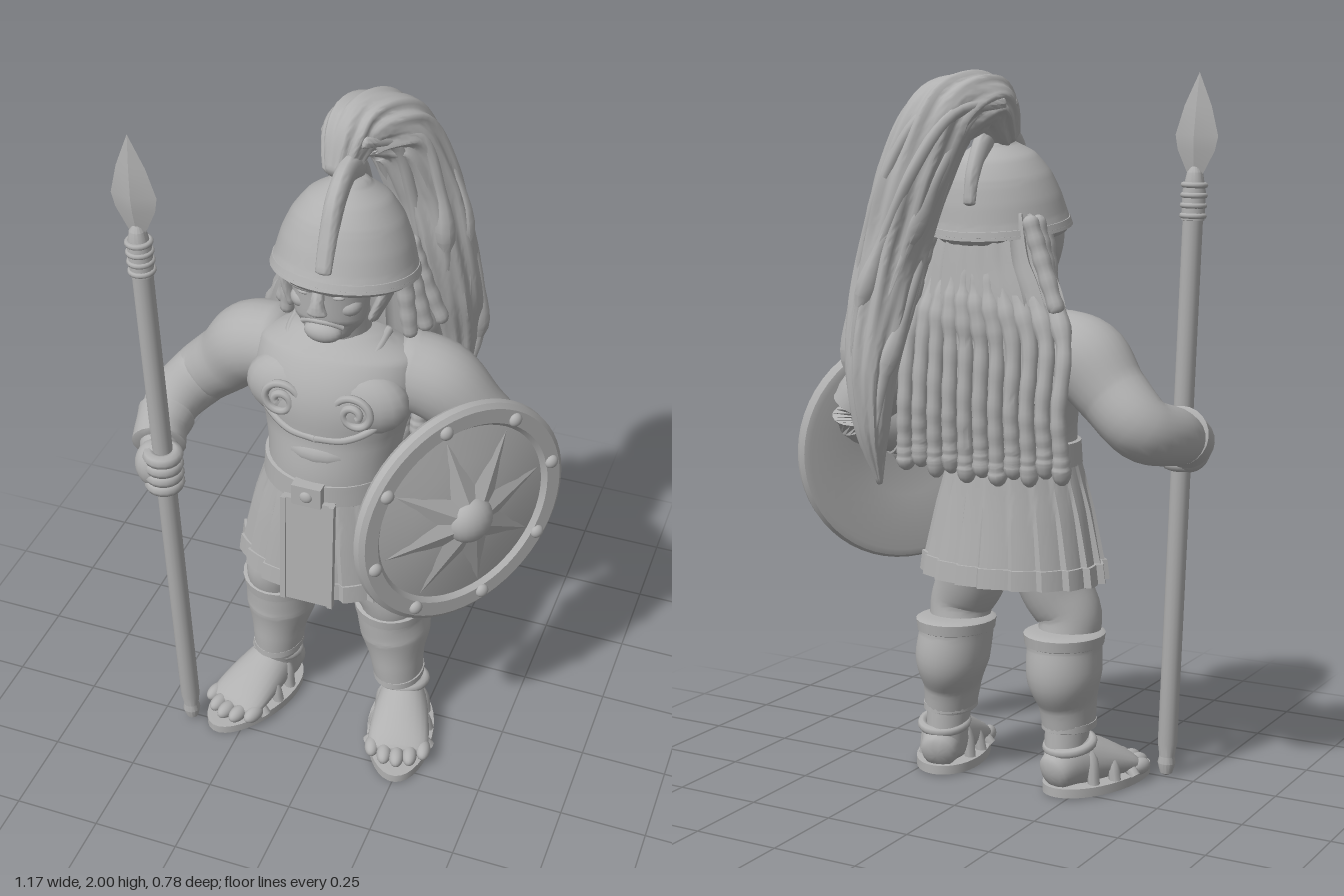
import * as THREE from 'three';
import { toCreasedNormals } from 'three/addons/utils/BufferGeometryUtils.js';

const X = new THREE.Vector3(1, 0, 0), Y = new THREE.Vector3(0, 1, 0);

// Closed body swept through [x, y, z, ra, rb] stations; ra lies along `side`, `mod` ripples the surface.
function loft(st, { side = X, n = 24, steps = 6, cap = 0.5, mod = () => 1 } = {}) {
  const path = new THREE.CatmullRomCurve3(st.map(s => new THREE.Vector3(s[0], s[1], s[2])));
  const size = new THREE.CatmullRomCurve3(st.map(s => new THREE.Vector3(s[3], s[4] ?? s[3], 0)));
  const pos = [], idx = [], rings = [];
  const total = (st.length - 1) * steps;
  const station = (t, scale = 1, shift = 0) => {
    const T = path.getTangent(t), p = path.getPoint(t), r = size.getPoint(t);
    p.addScaledVector(T, shift * Math.min(r.x, r.y));
    rings.push({ T, p, t, a: r.x * scale, b: r.y * scale });
  };
  const arc = [0.35, 0.7, 0.92];
  arc.forEach(s => station(0, s, -cap * Math.sqrt(1 - s * s)));
  for (let i = 0; i <= total; i++) station(i / total);
  arc.slice().reverse().forEach(s => station(1, s, cap * Math.sqrt(1 - s * s)));
  for (const { T, p, t, a, b } of rings) {
    const U = side.clone().addScaledVector(T, -side.dot(T)).normalize();
    const V = T.clone().cross(U);
    for (let j = 0; j < n; j++) {
      const q = j / n * Math.PI * 2, m = mod(q, t);
      const v = p.clone().addScaledVector(U, a * m * Math.cos(q)).addScaledVector(V, b * m * Math.sin(q));
      pos.push(v.x, v.y, v.z);
    }
  }
  for (let i = 0; i < rings.length - 1; i++) for (let j = 0; j < n; j++) {
    const a = i * n + j, b = i * n + (j + 1) % n;
    idx.push(a, b, b + n, a, b + n, a + n);
  }
  const last = (rings.length - 1) * n, c0 = rings.length * n;
  [[0, -1], [1, 1]].forEach(([t, s]) => {
    const r = size.getPoint(t), p = path.getPoint(t).addScaledVector(path.getTangent(t), s * cap * Math.min(r.x, r.y));
    pos.push(p.x, p.y, p.z);
  });
  for (let j = 0; j < n; j++) {
    const k = (j + 1) % n;
    idx.push(c0, k, j, c0 + 1, last + j, last + k);
  }
  const g = new THREE.BufferGeometry();
  g.setAttribute('position', new THREE.Float32BufferAttribute(pos, 3));
  g.setIndex(idx);
  return toCreasedNormals(g, 0.8);
}

export function createModel() {
  const stone = new THREE.MeshStandardMaterial({ color: 0xb0b0b0 });
  stone.name = 'grey stone';
  const model = new THREE.Group();
  model.name = 'warrior';
  const add = (name, geo, parent = model) => {
    const m = new THREE.Mesh(geo, stone);
    m.name = name;
    parent.add(m);
    return m;
  };
  const group = (name, parent = model) => {
    const g = new THREE.Group();
    g.name = name;
    parent.add(g);
    return g;
  };
  const ball = (name, p, s, parent) => {
    const m = add(name, new THREE.SphereGeometry(1, 20, 14), parent);
    m.position.set(...p);
    m.scale.set(...s);
    return m;
  };
  const box = (name, p, s, parent) => {
    const m = add(name, new THREE.BoxGeometry(...s), parent);
    m.position.set(...p);
    return m;
  };
  const tube = (name, pts, r, parent) => add(name, new THREE.TubeGeometry(
    new THREE.CatmullRomCurve3(pts.map(p => new THREE.Vector3(...p))), pts.length * 5, r, 8), parent);
  const lathe = (pts, n) => toCreasedNormals(
    new THREE.LatheGeometry(pts.map(p => new THREE.Vector2(...p)), n), 0.5);

  // Cuirass
  add('torso', loft([[-.02, .92, .05, .188, .17], [-.02, 1.0, .05, .184, .17], [-.02, 1.1, .04, .198, .165],
    [-.02, 1.22, .03, .23, .17], [-.02, 1.32, 0, .225, .142], [-.02, 1.37, -.01, .14, .1]], { n: 36, cap: .2 }));
  for (const s of [-1, 1]) {
    ball('chestMuscle', [-.02 + s * .09, 1.225, .105], [.14, .105, .08]);
    const swirl = [];
    for (let i = 0; i <= 16; i++) {
      const a = i * .62, r = .058 - i * .0028;
      swirl.push([-.02 + s * (.105 - r * Math.cos(a)), 1.225 + r * Math.sin(a), .181 + i * .0005]);
    }
    tube('chestSwirl', swirl, .011);
    tube('chestRidge', [[-.02, 1.135, .2], [-.02 + s * .08, 1.14, .188], [-.02 + s * .15, 1.175, .158], [-.02 + s * .185, 1.225, .13]], .012);
    tube('neckline', [[-.02, 1.305, .15], [-.02 + s * .08, 1.31, .14], [-.02 + s * .125, 1.36, .06], [-.02 + s * .13, 1.375, -.02]], .012);
  }
  ball('belly', [-.02, 1.075, .13], [.12, .06, .085]);

  // Belt and pleated skirt
  add('belt', loft([[-.025, .925, .05, .195, .178], [-.025, .99, .05, .19, .176]], { n: 40, cap: .05 }));
  box('beltBuckle', [-.03, .965, .228], [.085, .065, .045]);
  ball('buckleStud', [-.03, .965, .25], [.018, .018, .01]);
  const pleat = (q, t) => 1 + .06 * (.3 + t) * ((q * 20 / (2 * Math.PI)) % 1);
  add('skirt', loft([[-.025, .95, .05, .185, .165], [-.025, .8, .05, .225, .175], [-.025, .61, .045, .262, .19]],
    { n: 160, cap: .03, mod: pleat }));
  add('skirtHem', loft([[-.025, .655, .045, .26, .19], [-.025, .6, .045, .267, .195]],
    { n: 160, steps: 2, cap: .03, mod: q => pleat(q, 1) }));
  const panel = box('skirtPanel', [-.03, .765, .238], [.15, .35, .02]);
  panel.rotation.x = -.06;
  for (const x of [-.1, .04]) box('panelEdge', [x, .765, .244], [.015, .35, .02]).rotation.x = -.06;

  // Legs with greaves and sandals
  const leg = (name, hip, knee, ankle, turn) => {
    const g = group(name);
    add('thigh', loft([[hip, .72, .03, .11, .12], [(hip + knee) / 2, .58, .04, .1, .105],
      [knee, .5, .045, .09, .092], [knee, .43, .03, .085, .085]]), g);
    const d = ankle - knee;
    add('greave', loft([[knee, .455, .012, .11, .12], [knee, .42, .012, .104, .116], [knee + d * .3, .35, .008, .104, .12],
      [knee + d * .7, .26, .025, .08, .096], [ankle, .19, .03, .072, .088]], { n: 30, cap: .1 }), g);
    add('greaveRim', loft([[knee, .43, .012, .109, .121], [knee, .46, .012, .113, .124]], { cap: .1 }), g);
    add('greaveCuff', loft([[ankle, .185, .03, .075, .09], [ankle, .205, .03, .075, .089]], { cap: .1 }), g);
    add('ankle', loft([[ankle, .21, .025, .062, .077], [ankle, .06, .0, .056, .062]]), g);
    const foot = group('foot', g);
    foot.position.x = ankle + Math.sign(turn) * .008;
    foot.rotation.y = turn;
    add('instep', loft([[0, .07, -.045, .054, .054], [0, .09, .02, .067, .08], [0, .08, .1, .082, .064],
      [0, .058, .19, .09, .038], [0, .045, .225, .084, .025]]), foot);
    add('sole', loft([[0, .004, .115, .1, .192], [0, .03, .115, .1, .192]],
      { n: 36, steps: 2, cap: .03, mod: q => 1 + .05 * Math.sin(q) * Math.cos(2 * q) }), foot);
    for (let i = 0; i < 5; i++)
      ball('toe', [(i - 2) * .038, .045, .252 - .009 * (i - 2) ** 2], [.022, .024, .038], foot);
    [[.18, .094, .055], [.11, .084, .1], [.04, .07, .135]].forEach(([z, w, h]) => tube('sandalStrap',
      [[-w, .025, z], [-w * .8, h * .8, z], [0, h + .015, z - .01], [w * .8, h * .8, z], [w, .025, z]], .017, foot));
    const band = add('ankleStrap', new THREE.TorusGeometry(.065, .014, 8, 24), foot);
    band.rotation.x = Math.PI / 2 - .2;
    band.position.set(0, .14, .012);
  };
  leg('rightLeg', -.12, -.205, -.212, -.34);
  leg('leftLeg', .07, .145, .175, .24);

  // Arms: stations run from shoulder to wrist
  const arm = (name, pts, cuffPts) => {
    const g = group(name);
    add('armMuscle', loft(pts, { side: Y }), g);
    add('wristCuff', loft(cuffPts, { side: Y, cap: .1 }), g);
    return g;
  };
  const right = arm('rightArm', [[-.2, 1.258, -.025, .112], [-.29, 1.235, -.035, .115], [-.375, 1.15, -.048, .098],
    [-.465, 1.065, -.052, .09], [-.508, 1.03, .055, .08], [-.48, .99, .22, .052]],
  [[-.502, 1.025, .11, .082], [-.497, 1.01, .16, .074], [-.486, .995, .2, .076]]);
  ball('rightPalm', [-.47, .97, .255], [.06, .072, .06], right);
  for (let i = 0; i < 4; i++) {
    const f = add('finger', new THREE.TorusGeometry(.037, .02, 8, 18), right);
    f.rotation.x = Math.PI / 2;
    f.position.set(-.442, .92 + i * .032, .268);
  }
  const left = arm('leftArm', [[.16, 1.258, -.025, .112], [.245, 1.235, -.035, .113], [.335, 1.15, -.05, .098],
    [.41, 1.05, -.07, .083], [.36, 1.0, .0, .074], [.28, .97, .1, .05]],
  [[.35, .995, .015, .078], [.3, .975, .075, .068]]);
  ball('leftFist', [.265, .965, .13], [.055, .07, .055], left);

  // Head and face
  const head = group('head');
  add('neck', loft([[-.02, 1.32, 0, .1, .09], [-.02, 1.38, .01, .088, .08], [-.02, 1.5, .03, .085, .085]]), head);
  add('face', loft([[-.022, 1.42, .09, .066, .054], [-.022, 1.455, .075, .094, .08], [-.022, 1.53, .06, .106, .096],
    [-.02, 1.61, .05, .115, .108], [-.01, 1.7, .04, .105, .1]]), head);
  ball('chin', [-.022, 1.436, .128], [.052, .032, .032], head);
  tube('mouth', [[-.078, 1.458, .13], [-.05, 1.474, .145], [-.022, 1.478, .15], [.006, 1.474, .145], [.034, 1.458, .13]], .007, head);
  add('nose', loft([[-.022, 1.59, .15, .016, .012], [-.022, 1.545, .168, .018, .018], [-.022, 1.517, .172, .028, .018]]), head);
  for (const s of [-1, 1]) {
    const brow = ball('brow', [-.022 + s * .05, 1.582, .142], [.05, .015, .026], head);
    brow.rotation.z = s * .25;
    ball('eye', [-.022 + s * .045, 1.556, .138], [.02, .008, .013], head);
    ball('cheek', [-.022 + s * .06, 1.515, .1], [.038, .03, .038], head);
    add('cheekGuard', loft([[-.01 + s * .15, 1.61, .03, .02, .05], [-.015 + s * .135, 1.53, .04, .018, .05],
      [-.02 + s * .112, 1.46, .05, .014, .035]]), head);
  }

  // Helmet with a raised ridge
  const helmet = group('helmet', head);
  add('helmetDome', loft([[0, -.02, 0, .198, .188], [0, 0, 0, .19, .18], [0, .06, 0, .174, .165], [0, .12, 0, .148, .145],
    [0, .172, .0, .108, .11], [0, .205, .0, .055, .06]], { n: 36, cap: .3 }), helmet);
  add('helmetBrim', loft([[0, -.028, 0, .2, .19], [0, -.005, 0, .194, .184]], { n: 36, cap: .05 }), helmet);
  add('helmetRidge', loft([[0, .02, .173, .022, .015], [0, .1, .147, .025, .024], [0, .19, .105, .026, .034],
    [0, .24, .03, .026, .036], [0, .225, -.045, .026, .036], [0, .14, -.125, .022, .03], [0, .07, -.16, .018, .015]]), helmet);
  helmet.position.set(0, 1.606, .012);
  helmet.rotation.x = -.15;

  // Plume sweeping up, back and down
  const plumePath = [[-.03, 1.83, -.02, .045, .045], [-.015, 1.915, -.09, .08, .076], [.055, 1.885, -.19, .097, .09],
    [.12, 1.73, -.24, .097, .092], [.17, 1.55, -.255, .09, .092], [.197, 1.38, -.285, .086, .085],
    [.21, 1.2, -.325, .068, .066], [.205, 1.05, -.33, .045, .045], [.195, .9, -.31, .008, .008]];
  add('plume', loft(plumePath, { n: 72, steps: 10,
    mod: (q, t) => 1 + .05 * Math.cos(9 * q + 9 * t) + .035 * Math.cos(14 * q - 7 * t) }));
  for (let i = 0; i < 7; i++) {
    const a = i / 7 * Math.PI * 2;
    add('plumeStrand', loft(plumePath.slice(1, 6 + i % 3).map(([x, y, z, r], k, all) => {
      const w = k === all.length - 1 ? .004 : .017, c = a + k * .35;
      return [x + Math.cos(c) * r * .9, y, z + Math.sin(c) * r * .88, w];
    }), { n: 8 }));
  }

  // Long hair: a smooth mass at the neck that parts into hanging locks
  add('hairBack', loft([[-.015, 1.62, -.07, .14, .07], [-.015, 1.48, -.085, .175, .07], [-.035, 1.34, -.1, .215, .065],
    [-.035, 1.12, -.125, .225, .035]], { n: 60, cap: .2, mod: (q, t) => 1 + .04 * Math.cos(20 * q) * (1 + t) }));
  for (let i = 0; i < 11; i++) {
    const u = i / 10 * 2 - 1, x = -.038 + u * .238, end = .925 + .02 * (i % 2) + .02 * u * u;
    add('hairLock', loft([[-.015 + u * .13, 1.56, -.11 + .07 * u * u, .02], [-.015 + u * .19, 1.42, -.145 + .06 * u * u, .022],
      [x, 1.28, -.16 + .02 * u * u, .022], [x, 1.1, -.172, .021], [x * 1.02, end + .05, -.165, .022], [x * 1.02, end, -.16, .027]],
    { n: 10, steps: 9, cap: 1.3, mod: (q, t) => 1 + .06 * Math.sin(t * 60 + i) }));
  }
  for (const s of [-1, 1]) for (let k = 0; k < 3; k++)
    add('sideLock', loft([[-.01 + s * .15, 1.6, -.03 - k * .04, .022], [-.01 + s * (.16 + k * .012), 1.5, -.03 - k * .04, .024],
      [-.01 + s * (.175 + k * .028), 1.38, -.03 - k * .045, .022]], { n: 10, steps: 10, cap: 1, mod: (q, t) => 1 + .06 * Math.sin(t * 25 + k) }));

  // Round shield with star, boss and rivets
  const shield = group('shield');
  add('shieldDisc', lathe([[0, .01], [.15, 0], [.31, -.03], [.328, -.026], [.338, -.01], [.336, .01], [.322, .02], [.28, .02],
    [.268, .006], [.18, .025], [.08, .04], [0, .044]], 56).rotateX(Math.PI / 2), shield);
  ball('shieldBoss', [0, 0, .04], [.07, .07, .055], shield);
  for (let i = 0; i < 8; i++) {
    const ray = group('shieldRay', shield);
    ray.rotation.z = i * Math.PI / 4 + .2;
    const point = add('starPoint', toCreasedNormals(new THREE.ConeGeometry(.05, .21, 4), .1).scale(1, 1, .35), ray);
    point.position.set(0, .155, .028);
    point.rotation.x = -.17;
    ball('rivet', [0, .297, .021], [.02, .02, .015], ray);
  }
  tube('shieldGrip', [[0, .1, 0], [0, .08, -.06], [0, -.08, -.06], [0, -.1, 0]], .014, shield).position.x = -.14;
  shield.position.set(.368, .926, .116);
  shield.rotation.set(-.06, .915, 0, 'YXZ');

  // Spear
  const spear = group('spear');
  add('shaft', lathe([[0, 0], [.018, .01], [.026, .04], [.022, .06], [.028, .1], [.028, 1.62], [0, 1.63]], 16), spear);
  add('socket', lathe([[0, 1.59], [.032, 1.6], [.032, 1.68], [.022, 1.73], [0, 1.76]], 16), spear);
  for (let i = 0; i < 4; i++) {
    const wrap = add('binding', new THREE.TorusGeometry(.03, .008, 8, 20), spear);
    wrap.rotation.x = Math.PI / 2;
    wrap.position.y = 1.612 + i * .028;
  }
  add('blade', lathe([[0, 1.69], [.02, 1.72], [.055, 1.79], [.063, 1.83], [.04, 1.91], [0, 2]], 4).scale(1, 1, .33), spear);
  spear.position.set(-.41, 0, .26);
  spear.rotation.set(.005, 0, .0325);

  return model;
}
